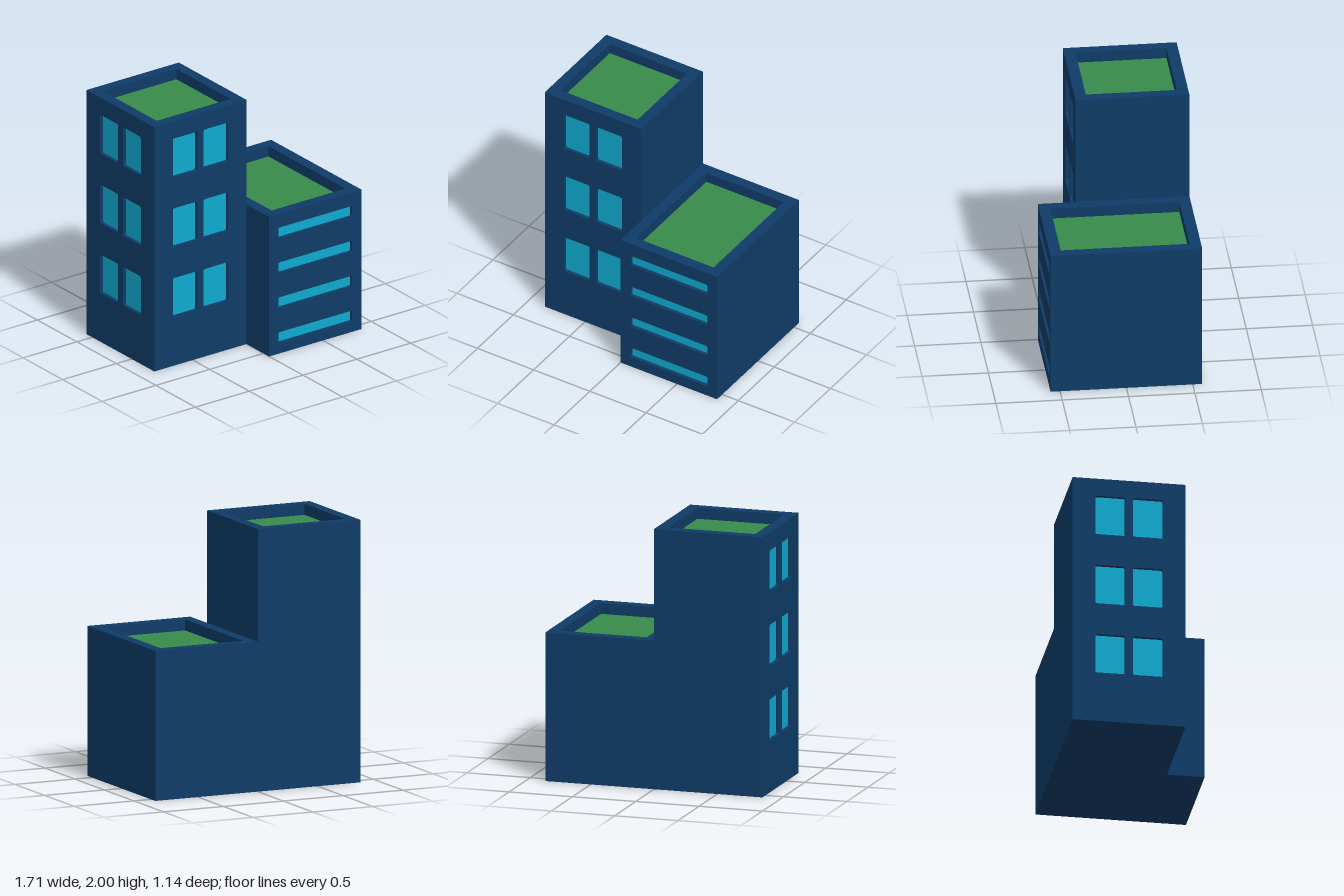
import * as THREE from 'three';

const navy = new THREE.MeshStandardMaterial({ color: 0x0f3c67 });
navy.name = 'navy wall';
const cyan = new THREE.MeshStandardMaterial({ color: 0x0fabd0 });
cyan.name = 'cyan glass';
const green = new THREE.MeshStandardMaterial({ color: 0x388b4b });
green.name = 'green roof';

const U = 2 / 7;         // building module
const RECESS = 0.029;    // depth of the window reveals
const RIM = 0.0857;      // width and height of the parapet

function mesh(name, geometry, material, parent) {
  const m = new THREE.Mesh(geometry, material);
  m.name = name;
  parent.add(m);
  return m;
}

function trace(path, x0, y0, x1, y1) {
  path.moveTo(x0, y0);
  path.lineTo(x1, y0);
  path.lineTo(x1, y1);
  path.lineTo(x0, y1);
  path.closePath();
  return path;
}

function traceRounded(path, [x0, y0, x1, y1], r = 0.015) {
  path.moveTo(x0 + r, y0);
  path.lineTo(x1 - r, y0);
  path.quadraticCurveTo(x1, y0, x1, y0 + r);
  path.lineTo(x1, y1 - r);
  path.quadraticCurveTo(x1, y1, x1 - r, y1);
  path.lineTo(x0 + r, y1);
  path.quadraticCurveTo(x0, y1, x0, y1 - r);
  path.lineTo(x0, y0 + r);
  path.quadraticCurveTo(x0, y0, x0 + r, y0);
  return path;
}

// Wall panel with recessed windows; its outer face lies at local z = 0
function facade(name, u0, u1, height, windows) {
  const g = new THREE.Group();
  g.name = name;
  const shape = trace(new THREE.Shape(), u0, 0, u1, height);
  for (const w of windows) shape.holes.push(traceRounded(new THREE.Path(), w));
  const wall = new THREE.ExtrudeGeometry(shape, { depth: RECESS, bevelEnabled: false, curveSegments: 4 });
  mesh('facadeWall', wall, navy, g).position.z = -RECESS;
  for (const w of windows) {
    const pane = new THREE.ShapeGeometry(traceRounded(new THREE.Shape(), w), 4);
    mesh('windowPane', pane, cyan, g).position.z = -RECESS + 0.001;
  }
  return g;
}

// Solid core, given by its min and max corners
function core(x0, x1, height, z0, z1, parent) {
  const geo = new THREE.BoxGeometry(x1 - x0, height, z1 - z0);
  mesh('core', geo, navy, parent).position.set((x0 + x1) / 2, height / 2, (z0 + z1) / 2);
}

// Raised parapet around a sunken green roof
function roof(x0, x1, z0, z1, top, parent) {
  const shape = trace(new THREE.Shape(), x0, -z1, x1, -z0);
  shape.holes.push(trace(new THREE.Path(), x0 + RIM, -z1 + RIM, x1 - RIM, -z0 - RIM));
  const rim = new THREE.ExtrudeGeometry(shape, { depth: RIM, bevelEnabled: false });
  rim.rotateX(-Math.PI / 2);
  mesh('parapet', rim, navy, parent).position.y = top - RIM;

  const lawn = new THREE.PlaneGeometry(x1 - x0 - 2 * RIM, z1 - z0 - 2 * RIM);
  lawn.rotateX(-Math.PI / 2);
  mesh('roofLawn', lawn, green, parent).position.set((x0 + x1) / 2, top - RIM + 0.002, (z0 + z1) / 2);
}

export function createModel() {
  const model = new THREE.Group();
  model.name = 'officeBuilding';
  const back = -2 * U;

  // Tall tower: paired windows on the front and on the outer side
  const tower = new THREE.Group();
  tower.name = 'tower';
  model.add(tower);
  const towerWindows = [];
  for (let i = 0; i < 3; i++) {
    const y = 0.4 + i * 2 * U;
    towerWindows.push([-0.257, y, -0.029, y + 0.317], [0.029, y, 0.257, y + 0.317]);
  }
  const towerWall = 2 - RIM;
  core(-3 * U + RECESS, 0, towerWall, back, U - RECESS, tower);
  const front = facade('towerFront', -1.5 * U, 1.5 * U, towerWall, towerWindows);
  front.position.set(-1.5 * U, 0, U);
  const side = facade('towerSide', -1.5 * U, 1.5 * U - RECESS, towerWall, towerWindows);
  side.rotation.y = -Math.PI / 2;
  side.position.set(-3 * U, 0, -0.5 * U);
  tower.add(front, side);
  roof(-3 * U, 0, back, U, 2, tower);

  // Low wing: four ribbon windows on the front
  const wing = new THREE.Group();
  wing.name = 'lowWing';
  model.add(wing);
  const ribbons = [];
  for (let i = 0; i < 4; i++) {
    const y = 0.0857 + i * U;
    ribbons.push([-0.343, y, 0.343, y + 0.0886]);
  }
  const wingTop = 4 * U;
  core(0, 3 * U, wingTop - RIM, back, 2 * U - RECESS, wing);
  const wingFront = facade('wingFront', -1.5 * U, 1.5 * U, wingTop - RIM, ribbons);
  wingFront.position.set(1.5 * U, 0, 2 * U);
  wing.add(wingFront);
  roof(0, 3 * U, back, 2 * U, wingTop, wing);

  return model;
}
